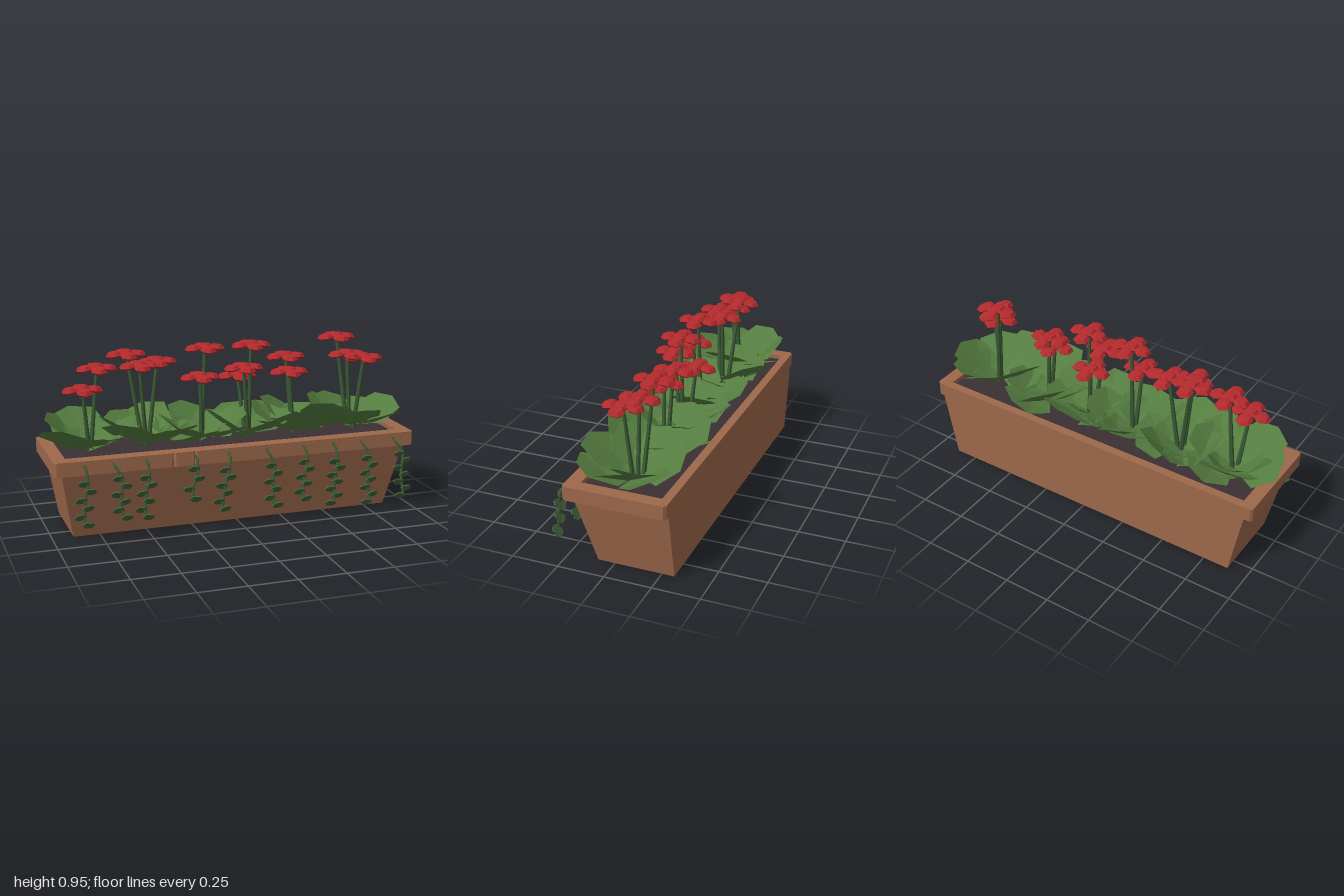
import * as THREE from 'three';
import { mergeGeometries } from 'three/addons/utils/BufferGeometryUtils.js';

let seed = 7;
const rnd = (a, b) => {
  seed = (seed * 16807) % 2147483647;
  return a + (b - a) * (seed / 2147483647);
};
const mat = (name, color, side = THREE.FrontSide) => {
  const m = new THREE.MeshStandardMaterial({ color, flatShading: true, side });
  m.name = name;
  return m;
};
const v = (x, y, z) => new THREE.Vector3(x, y, z);

// Straight thin stem between two points
function rod(a, b, r0, r1) {
  const d = b.clone().sub(a);
  const g = new THREE.CylinderGeometry(r1, r0, d.length(), 6);
  g.applyQuaternion(new THREE.Quaternion().setFromUnitVectors(v(0, 1, 0), d.clone().normalize()));
  const m = a.clone().add(b).multiplyScalar(0.5);
  return g.translate(m.x, m.y, m.z);
}

// Broad leaf folded along its midrib, pointing along +x and rising to the tip
function leaf(len, width, rise) {
  const p = [
    [0, 0, 0], [0.5, 0.3, 0], [1, 1, 0],
    [0.4, 0.4, 0.48], [0.87, 0.85, 0.4], [0.4, 0.4, -0.48], [0.87, 0.85, -0.4],
  ].map(([x, y, z]) => [x * len, y * rise, z * width]);
  const g = new THREE.BufferGeometry();
  g.setAttribute('position', new THREE.Float32BufferAttribute(p.flat(), 3));
  g.setIndex([0, 3, 1, 1, 3, 4, 1, 4, 2, 0, 1, 5, 1, 6, 5, 1, 2, 6]);
  const flat = g.toNonIndexed();
  flat.computeVertexNormals();
  return flat;
}

// Flower head: a middle floret and four around it
function flowerHead(c) {
  const profile = [[0, 0], [0.034, 0], [0.046, 0.01], [0.03, 0.028], [0, 0.03]]
    .map(([x, y]) => new THREE.Vector2(x, y));
  const parts = [];
  for (let i = 0; i < 5; i++) {
    const a = (i * Math.PI) / 2;
    const r = i === 4 ? 0 : 0.063;
    const g = new THREE.LatheGeometry(profile, 6);
    g.rotateZ(-Math.cos(a) * r * 2.2).rotateX(Math.sin(a) * r * 2.2);
    g.translate(c.x + Math.cos(a) * r, c.y - 0.02 + (r ? 0 : 0.008), c.z + Math.sin(a) * r);
    parts.push(g);
  }
  return mergeGeometries(parts);
}

export function createModel() {
  const group = new THREE.Group();
  const clay = mat('terracotta', 0x9d684b);
  const soilMat = mat('soil', 0x3b3033);
  const leafMat = mat('leaf green', 0x557d40, THREE.DoubleSide);
  const stemMat = mat('stem green', 0x3a5a34);
  const vineMat = mat('vine green', 0x42633b);
  const red = mat('flower red', 0xb32a2d);
  const add = (name, geo, material, parent = group) => {
    const m = new THREE.Mesh(geo, material);
    m.name = name;
    parent.add(m);
  };

  // Tapered box with an upright back
  const body = new THREE.BoxGeometry(1, 0.38, 1).translate(0, 0.19, 0);
  const pos = body.attributes.position;
  for (let i = 0; i < pos.count; i++) {
    const top = pos.getY(i) > 0.1;
    const x = pos.getX(i) < 0 ? (top ? -0.96 : -0.89) : (top ? 0.94 : 0.87);
    const z = pos.getZ(i) < 0 ? -0.315 : (top ? 0.185 : 0.09);
    pos.setXYZ(i, x, pos.getY(i), z);
  }
  body.computeVertexNormals();
  add('planterBody', body, clay);

  // Rim with clipped corners and two nicks along the front edge
  const [x0, x1, z0, z1, c] = [-1, 0.975, -0.315, 0.224, 0.012];
  const outline = [
    [x0 + c, z0], [x1 - c, z0], [x1, z0 + c], [x1, z1 - c], [x1 - c, z1],
    [-0.255, z1], [-0.265, z1 - 0.012], [-0.275, z1],
    [-0.37, z1], [-0.38, z1 - 0.012], [-0.39, z1],
    [x0 + c, z1], [x0, z1 - c], [x0, z0 + c],
  ];
  const rimShape = new THREE.Shape(outline.map(([x, z]) => new THREE.Vector2(x, -z)));
  rimShape.holes.push(new THREE.Path(
    [[-0.93, 0.15], [0.905, 0.15], [0.905, -0.27], [-0.93, -0.27]]
      .map(([x, z]) => new THREE.Vector2(x, -z))));
  const rim = new THREE.ExtrudeGeometry(rimShape, { depth: 0.075, bevelEnabled: false });
  add('planterRim', rim.rotateX(-Math.PI / 2).translate(0, 0.366, 0), clay);
  add('soil', new THREE.BoxGeometry(1.835, 0.035, 0.42).translate(-0.0125, 0.4, -0.06), soilMat);

  // Plants: root x, then the flower heads as x, y, z
  const plants = [
    [-0.76, [[-0.8, 0.76, 0], [-0.71, 0.855, -0.06]]],
    [-0.45, [[-0.535, 0.905, -0.135], [-0.49, 0.86, -0.03], [-0.38, 0.865, -0.09]]],
    [-0.15, [[-0.17, 0.785, 0], [-0.13, 0.93, -0.045]]],
    [0.12, [[0.07, 0.82, 0.005], [0.075, 0.755, -0.115], [0.13, 0.93, -0.05]]],
    [0.39, [[0.35, 0.845, -0.1], [0.35, 0.77, -0.05]]],
    [0.73, [[0.66, 0.93, -0.13], [0.7, 0.84, -0.07], [0.78, 0.825, -0.02]]],
  ];
  for (const [px, heads] of plants) {
    const plant = new THREE.Group();
    plant.name = 'floweringPlant';
    group.add(plant);

    const leaves = [];
    const start = rnd(0, 0.9);
    for (let i = 0; i < 11; i++) {
      const outer = i < 7;
      const a = start + (outer ? i / 7 : (i + 0.5) / 4) * Math.PI * 2 + rnd(-0.15, 0.15);
      const front = Math.max(0, Math.sin(a));
      const len = outer ? rnd(0.235, 0.265) + front * 0.045 : rnd(0.13, 0.19);
      const g = leaf(len, outer ? rnd(0.25, 0.33) : 0.17, outer ? rnd(0.08, 0.18) : rnd(0.07, 0.11));
      g.rotateX(rnd(-0.35, 0.35)).rotateY(-a);
      leaves.push(g.translate(px, 0.43, -0.06));
    }
    add('leaves', mergeGeometries(leaves), leafMat, plant);

    const stems = heads.map(([x, y, z]) => rod(
      v(px + (x - px) * 0.15, 0.41, -0.065 + (z + 0.065) * 0.4), v(x, y - 0.005, z), 0.013, 0.009));
    add('flowerStems', mergeGeometries(stems), stemMat, plant);
    heads.forEach((h) => add('flowerHead', flowerHead(v(...h)), red, plant));
  }

  // Trailing vines: start x, end x, end y
  const vines = [
    [-0.85, -0.87, 0.13], [-0.7, -0.67, 0.15], [-0.53, -0.56, 0.14], [-0.27, -0.31, 0.21],
    [-0.09, -0.15, 0.14], [0.12, 0.14, 0.13], [0.33, 0.3, 0.15], [0.5, 0.48, 0.11],
    [0.66, 0.69, 0.095], [0.85, 0.89, 0.11],
  ];
  for (const [xa, xb, yb] of vines) {
    const vine = new THREE.Group();
    vine.name = 'trailingVine';
    group.add(vine);
    const xm = (xa + xb) / 2;
    const path = new THREE.CatmullRomCurve3([
      v(xa, 0.42, 0.228), v(xa + 0.005, 0.405, 0.246), v(xm + 0.02, 0.35, 0.273),
      v(xm + (xb - xa) * 0.2, (0.34 + yb) / 2, 0.288), v(xb, yb, 0.302),
    ]);
    add('vineStem', new THREE.TubeGeometry(path, 10, 0.007, 5), stemMat, vine);

    // Small leaves on alternate sides, tipped up at the front
    const parts = [];
    const n = Math.round((0.36 - yb) / 0.045) + 1;
    for (let i = 0; i < n; i++) {
      const p = path.getPointAt(0.32 + (0.68 * i) / (n - 1));
      const s = i % 2 ? 1 : -1;
      const g = new THREE.CylinderGeometry(0.032, 0.032, 0.007, 6).rotateY(Math.PI / 6);
      g.scale(1, 1, 0.75).rotateX(-0.95).rotateZ(s * rnd(-0.1, 0.2));
      parts.push(g.translate(p.x + s * 0.02, p.y, p.z));
    }
    add('vineLeaves', mergeGeometries(parts), vineMat, vine);
  }
  return group;
}
